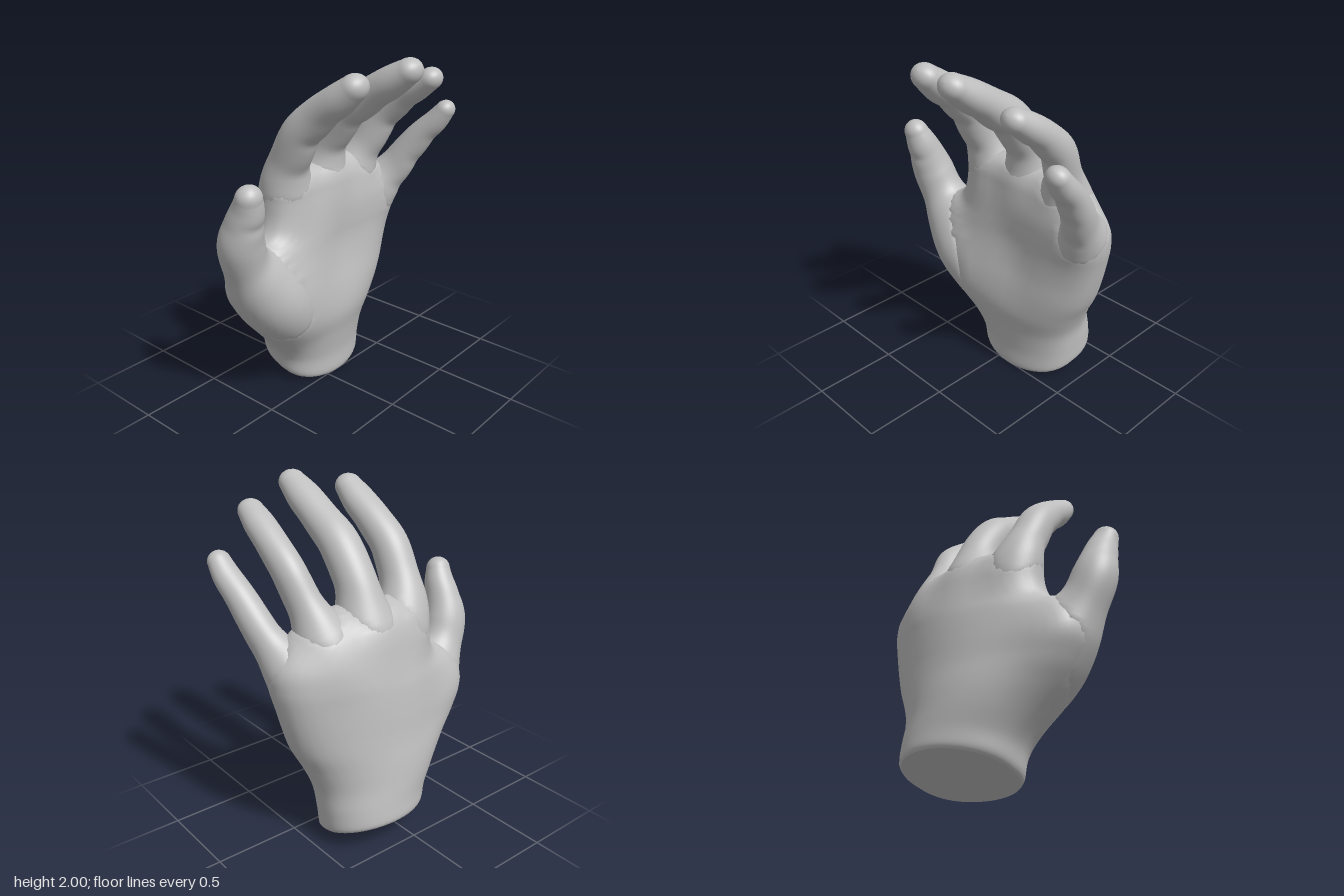
import * as THREE from 'three';

const SIDES = 40;
const V = (x, y, z) => new THREE.Vector3(x, y, z);

// Smooth interpolation of every column in a table of cross-sections
function sample(rows, u) {
  const last = rows.length - 1;
  const i = Math.min(Math.floor(u), last - 1), t = u - i;
  const row = (k) => rows[Math.max(0, Math.min(last, k))];
  return rows[0].map((_, c) => {
    const [a, b, d, e] = [row(i - 1)[c], row(i)[c], row(i + 1)[c], row(i + 2)[c]];
    return b + 0.5 * t * (d - a + t * (2 * a - 5 * b + 4 * d - e + t * (3 * (b - d) + e - a)));
  });
}

// Skin a list of equally sized rings of points
function loft(rings) {
  const index = [];
  for (let r = 0; r < rings.length - 1; r++) {
    for (let s = 0; s < SIDES; s++) {
      const a = r * SIDES + s, b = r * SIDES + (s + 1) % SIDES;
      index.push(a, b, b + SIDES, a, b + SIDES, a + SIDES);
    }
  }
  const geometry = new THREE.BufferGeometry().setFromPoints(rings.flat());
  geometry.setIndex(index);
  geometry.computeVertexNormals();
  return geometry;
}

const ringOf = (f) => Array.from({ length: SIDES }, (_, s) => f((s / SIDES) * Math.PI * 2));
const bump = (d, width) => Math.exp(-(d * d) / (width * width));

// Outward offsets that fillet one part where it meets another, largest at the seam
function filletOffsets(part, other, reach) {
  const p = part.attributes.position.array;
  const q = other.attributes.position.array, n = other.attributes.normal.array;
  const offsets = [];
  for (let i = 0; i < p.length; i += 3) {
    let best = Infinity, near = 0;
    for (let j = 0; j < q.length; j += 3) {
      const x = p[i] - q[j], y = p[i + 1] - q[j + 1], z = p[i + 2] - q[j + 2];
      const d = x * x + y * y + z * z;
      if (d < best) { best = d; near = j; }
    }
    const height = (p[i] - q[near]) * n[near] + (p[i + 1] - q[near + 1]) * n[near + 1]
      + (p[i + 2] - q[near + 2]) * n[near + 2];
    const gap = Math.max(Math.abs(height), Math.sqrt(best) - 0.04);
    offsets.push(Math.max(reach - gap, 0) ** 2 / (4 * reach));
  }
  return offsets;
}

// Move each vertex along its normal
function inflate(geometry, offsets) {
  const p = geometry.attributes.position.array, n = geometry.attributes.normal.array;
  for (let i = 0; i < p.length; i++) p[i] += n[i] * offsets[Math.floor(i / 3)];
  geometry.computeVertexNormals();
}

// Finger rows run from root to tip: x, y, z, half width, half thickness
function digit(rows, creases) {
  const last = rows.length - 1, steps = last * 6, rings = [];
  const at = (u) => V(...sample(rows, u).slice(0, 3));
  const ring = (u, grow, push) => {
    const [x, y, z, w, d] = sample(rows, u);
    const t = at(Math.min(u + 0.05, last)).sub(at(Math.max(u - 0.05, 0))).normalize();
    const side = V(1, 0, 0).addScaledVector(t, -t.x).normalize();
    const up = t.clone().cross(side);
    const centre = V(x, y, z).addScaledVector(t, push * (w + d) / 2);
    const fold = creases.reduce((sum, c) => sum + bump(u - c, 0.3), 0);
    return ringOf((a) => {
      const sin = Math.sin(a);
      const pinch = sin < 0 ? 1 + 0.09 * fold * sin : 1; // crease on the palm side
      return centre.clone()
        .addScaledVector(side, Math.cos(a) * w * grow)
        .addScaledVector(up, sin * d * grow * pinch);
    });
  };
  for (let i = 0; i <= steps; i++) rings.push(ring(i / 6, 1, 0));
  // Rounded tip
  for (let k = 1; k <= 7; k++) {
    const a = (k / 7) * Math.PI / 2;
    rings.push(ring(last, Math.cos(a), Math.sin(a)));
  }
  return loft(rings);
}

// Palm rows run from wrist to knuckles: y, right edge, left edge, mid z, front depth, back depth
const PALM = [
  [0.0, -0.2, 0.425, -0.25, 0.255, 0.255],
  [0.035, -0.222, 0.44, -0.25, 0.265, 0.262],
  [0.15, -0.252, 0.446, -0.24, 0.26, 0.262],
  [0.3, -0.34, 0.455, -0.21, 0.258, 0.28],
  [0.45, -0.44, 0.505, -0.18, 0.266, 0.297],
  [0.6, -0.54, 0.575, -0.16, 0.252, 0.3],
  [0.75, -0.6, 0.62, -0.15, 0.23, 0.296],
  [0.9, -0.52, 0.645, -0.14, 0.202, 0.285],
  [1.0, -0.405, 0.655, -0.135, 0.187, 0.27],
  [1.1, -0.345, 0.64, -0.135, 0.17, 0.24],
  [1.2, -0.315, 0.55, -0.14, 0.148, 0.195],
  [1.27, -0.3, 0.45, -0.14, 0.125, 0.145],
  [1.315, -0.26, 0.36, -0.135, 0.08, 0.08],
  [1.33, -0.1, 0.24, -0.13, 0.02, 0.02],
];

function palmRing(u) {
  const [y, right, left, mid, front, back] = sample(PALM, u);
  const low = Math.max(0, 1 - y / 0.7);
  return ringOf((a) => {
    const c = Math.cos(a), s = Math.sin(a);
    const x = (left + right) / 2 + ((left - right) / 2) * c;
    let z;
    if (s < 0) {
      // Front, with the hollow of the palm
      const depth = Math.abs(s) ** 0.7;
      z = mid + depth * (front - 0.055 * bump(x - 0.12, 0.22) * bump(y - 0.82, 0.28));
    } else {
      // Back, thinner towards the thumb
      z = mid - back * s * (1 - 0.18 * bump(x + 0.32, 0.25) * bump(y - 0.75, 0.33));
    }
    // Slanted wrist cut, and a slight turn of the forearm
    return V(x - 0.1 * low * (z - mid), y + 0.33 * low * (0.01 - z), z);
  });
}

const DIGITS = {
  indexFinger: [
    [-0.13, 0.92, -0.16, 0.07, 0.07], [-0.175, 1.13, -0.17, 0.11, 0.115],
    [-0.207, 1.32, -0.14, 0.118, 0.118], [-0.22, 1.46, -0.07, 0.113, 0.115],
    [-0.223, 1.6, 0.01, 0.111, 0.11], [-0.21, 1.71, 0.12, 0.105, 0.1],
    [-0.2, 1.81, 0.25, 0.102, 0.088], [-0.193, 1.88, 0.335, 0.085, 0.072],
  ],
  middleFinger: [
    [0.09, 0.95, -0.19, 0.07, 0.07], [0.1, 1.18, -0.185, 0.113, 0.13],
    [0.108, 1.36, -0.15, 0.12, 0.125], [0.112, 1.52, -0.07, 0.117, 0.118],
    [0.115, 1.66, 0.04, 0.116, 0.112], [0.122, 1.76, 0.18, 0.107, 0.1],
    [0.127, 1.86, 0.33, 0.103, 0.088], [0.132, 1.928, 0.433, 0.083, 0.07],
  ],
  ringFinger: [
    [0.31, 0.9, -0.18, 0.07, 0.07], [0.355, 1.1, -0.175, 0.103, 0.12],
    [0.39, 1.27, -0.13, 0.105, 0.115], [0.425, 1.42, -0.05, 0.095, 0.107],
    [0.457, 1.57, 0.03, 0.09, 0.1], [0.468, 1.68, 0.14, 0.088, 0.088],
    [0.469, 1.77, 0.26, 0.087, 0.078], [0.465, 1.828, 0.348, 0.075, 0.064],
  ],
  littleFinger: [
    [0.45, 0.78, -0.16, 0.05, 0.05], [0.515, 0.94, -0.13, 0.08, 0.09],
    [0.565, 1.08, -0.07, 0.095, 0.108], [0.605, 1.19, 0.0, 0.093, 0.105],
    [0.64, 1.31, 0.075, 0.09, 0.095], [0.668, 1.43, 0.16, 0.083, 0.082],
    [0.692, 1.53, 0.25, 0.077, 0.069], [0.702, 1.603, 0.305, 0.065, 0.056],
  ],
  thumb: [
    [-0.1, 0.38, -0.16, 0.07, 0.07], [-0.23, 0.49, -0.11, 0.13, 0.14],
    [-0.37, 0.63, -0.075, 0.16, 0.175], [-0.49, 0.79, -0.075, 0.15, 0.152],
    [-0.58, 0.93, -0.075, 0.13, 0.13], [-0.634, 1.08, -0.05, 0.129, 0.125],
    [-0.646, 1.2, -0.01, 0.105, 0.108], [-0.65, 1.29, 0.025, 0.09, 0.09],
    [-0.662, 1.362, 0.05, 0.075, 0.07],
  ],
};

export function createModel() {
  const skin = new THREE.MeshStandardMaterial({ color: 0xbfbfbf });
  skin.name = 'plainGrey';
  const hand = new THREE.Group();
  hand.name = 'hand';
  const add = (name, geometry) => {
    const mesh = new THREE.Mesh(geometry, skin);
    mesh.name = name;
    hand.add(mesh);
  };

  // Palm and wrist, closed at the knuckle end
  const rings = [];
  for (let i = 0; i <= (PALM.length - 1) * 6; i++) rings.push(palmRing(i / 6));
  const centreOf = (ring) => ring.reduce((sum, p) => sum.add(p), V(0, 0, 0)).divideScalar(SIDES);
  const collapse = (ring) => ring.map(() => centreOf(ring));
  const palm = loft([...rings, collapse(rings[rings.length - 1])]);

  // Fingers and thumb, creased at the joints
  const digits = Object.entries(DIGITS).map(([name, rows]) => (
    { name, geometry: digit(rows, name === 'thumb' ? [6.3] : [2.7, 4.1, 5.4]) }));

  // Soft webs and knuckles where the digits grow out of the palm
  const REACH = 0.15;
  const onPalm = digits.map((d) => filletOffsets(palm, d.geometry, REACH));
  for (const d of digits) {
    inflate(d.geometry, filletOffsets(d.geometry, palm, REACH));
    add(d.name, d.geometry);
  }
  inflate(palm, onPalm[0].map((_, i) => onPalm.reduce((sum, o) => sum + o[i], 0)));
  add('palm', palm);

  // Flat cut across the wrist
  add('wristCut', loft([collapse(rings[0]), rings[0]]));
  return hand;
}
